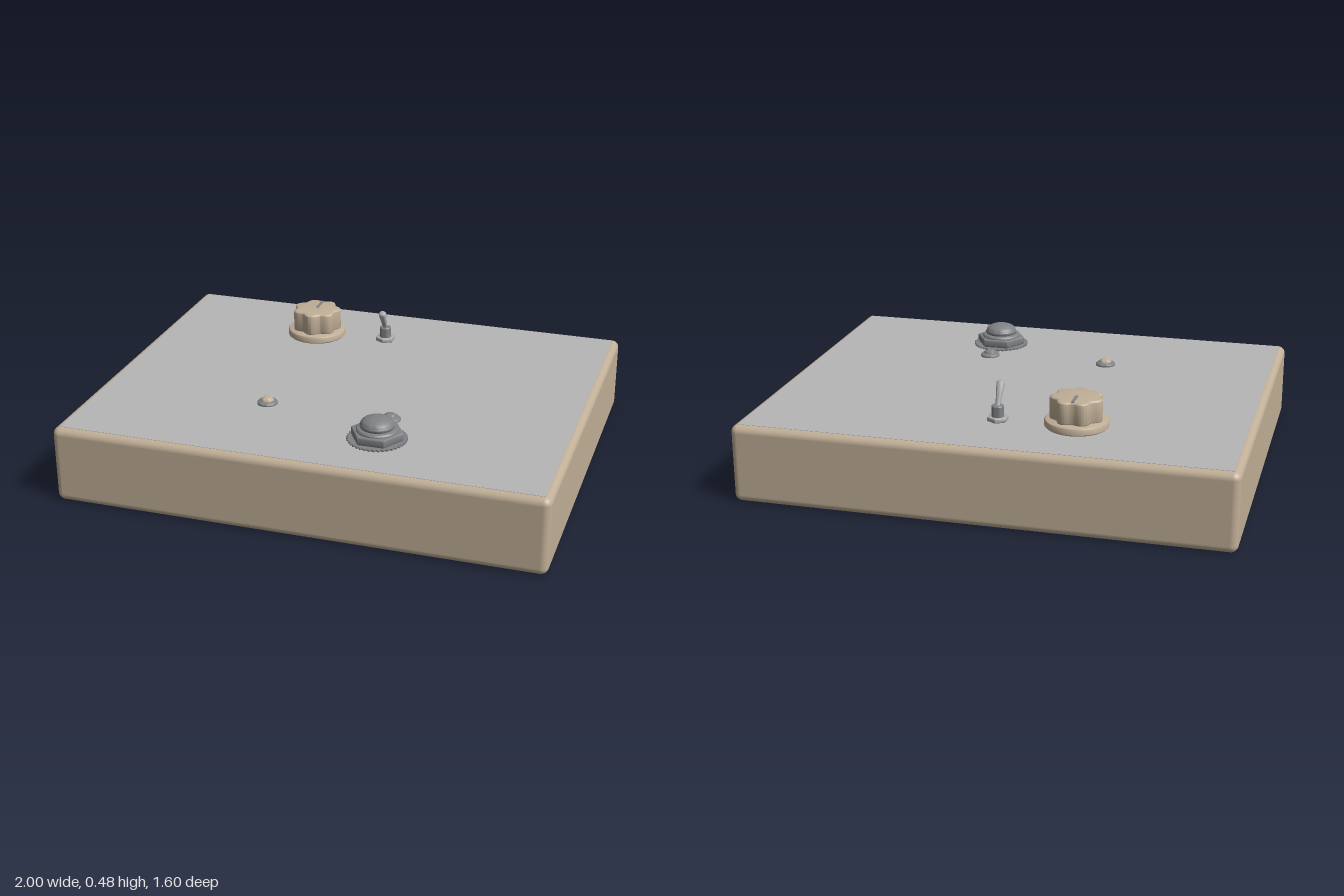
import * as THREE from 'three';
import { RoundedBoxGeometry } from 'three/addons/geometries/RoundedBoxGeometry.js';
import { toCreasedNormals } from 'three/addons/utils/BufferGeometryUtils.js';

const TOP = 0.321; // height of the panel surface

export function createModel() {
  const material = (name, color) => {
    const m = new THREE.MeshStandardMaterial({ color });
    m.name = name;
    return m;
  };
  const tan = material('warm tan', 0xc1af97);
  const panelGrey = material('panel grey', 0xb6b6b6);
  const steel = material('dark steel', 0x808285);
  const chrome = material('light steel', 0xaaabad);

  const model = new THREE.Group();
  model.name = 'controlBox';

  const group = (name, x, z) => {
    const g = new THREE.Group();
    g.name = name;
    g.position.set(x, TOP, z);
    model.add(g);
    return g;
  };
  const add = (parent, name, geometry, mat, x = 0, y = 0, z = 0) => {
    const mesh = new THREE.Mesh(geometry, mat);
    mesh.name = name;
    mesh.position.set(x, y, z);
    parent.add(mesh);
    return mesh;
  };
  // Turned part from [radius, height] pairs, with crisp edges kept
  const turned = (points, sides = 48) => toCreasedNormals(
    new THREE.LatheGeometry(points.map(([r, y]) => new THREE.Vector2(r, y)), sides), 0.6);
  // Dome profile from its rim up to the pole
  const dome = (r, y, h) => Array.from({ length: 9 }, (_, i) => {
    const a = (i / 8) * Math.PI / 2;
    return [i === 8 ? 0 : r * Math.cos(a), y + h * Math.sin(a)];
  });
  // Upright extrusion of an outline given as radius by angle
  const upright = (radiusAt, count, height, bevel) => {
    const shape = new THREE.Shape(Array.from({ length: count }, (_, i) => {
      const a = (i / count) * Math.PI * 2, r = radiusAt(a, i) - bevel;
      return new THREE.Vector2(r * Math.cos(a), r * Math.sin(a));
    }));
    const g = new THREE.ExtrudeGeometry(shape, {
      depth: height - 2 * bevel, bevelEnabled: bevel > 0,
      bevelSize: bevel, bevelThickness: bevel, bevelSegments: 3,
    });
    g.translate(0, 0, bevel).rotateX(-Math.PI / 2);
    return toCreasedNormals(g, 0.6);
  };

  // Rounded case and its inset top panel
  add(model, 'case', new RoundedBoxGeometry(2, 0.32, 1.6, 5, 0.03), tan, 0, 0.16, 0);
  add(model, 'topPanel', new THREE.BoxGeometry(1.945, 0.004, 1.545), panelGrey, 0, TOP - 0.002, 0);

  // Seven-lobed knob on a round skirt, with a pointer line
  const knob = group('knob', -0.315, -0.455);
  add(knob, 'knobSkirt', turned([[0, 0], [0.122, 0], [0.128, 0.005], [0.128, 0.026],
    [0.125, 0.031], [0.118, 0.034], [0, 0.034]]), tan);
  const grip = upright((a) => 0.0985 - 0.0085 * Math.sin(7 * a + Math.PI * 3),
    168, 0.094, 0.008);
  // Outline turned so a valley sits under the pointer
  add(knob, 'knobGrip', grip, tan, 0, 0.03, 0).rotation.y = 0;
  add(knob, 'knobPointer', new THREE.BoxGeometry(0.012, 0.004, 0.08), steel, 0, 0.1245, -0.045);

  // Toggle switch leaning to the front
  const toggle = group('toggleSwitch', 0, -0.475);
  add(toggle, 'toggleNut', upright(() => 0.043, 6, 0.018, 0.003), chrome).rotation.y = Math.PI / 6;
  add(toggle, 'toggleBushing', turned([[0, 0], [0.025, 0], [0.025, 0.06], [0.022, 0.064], [0, 0.064]], 32), steel);
  const lever = add(toggle, 'toggleLever', turned([[0, 0], [0.01, 0], [0.012, 0.04],
    [0.017, 0.092], ...dome(0.017, 0.092, 0.016)], 24), chrome, 0, 0.058, 0);
  lever.rotation.x = 0.52;

  // Foot switch: toothed washer, hex nut, collar and domed button
  const foot = group('footSwitch', 0.255, 0.5);
  add(foot, 'footWasher', upright((a, i) => (i % 4 < 2 ? 0.12 : 0.114), 160, 0.007, 0), steel);
  add(foot, 'footNut', upright(() => 0.106, 6, 0.034, 0.006), steel, 0, 0.006, 0);
  add(foot, 'footCollar', turned([[0, 0.036], [0.083, 0.036], [0.083, 0.044], [0.078, 0.05],
    [0.069, 0.052], [0, 0.052]]), steel);
  add(foot, 'footButton', turned([[0.064, 0.05], [0.068, 0.056], [0.068, 0.064],
    ...dome(0.066, 0.066, 0.029)]), steel);

  // Two indicator lamps in steel bezels
  for (const [name, x, lens] of [['rightLamp', -0.267, tan], ['leftLamp', 0.255, steel]]) {
    const lamp = group(name, x, 0.317);
    add(lamp, 'lampBezel', turned([[0, 0], [0.042, 0], [0.042, 0.006], [0.036, 0.012],
      [0.029, 0.014], [0, 0.014]], 32), steel);
    add(lamp, 'lampLens', turned(dome(0.027, 0.012, 0.017), 32), lens);
  }
  return model;
}
